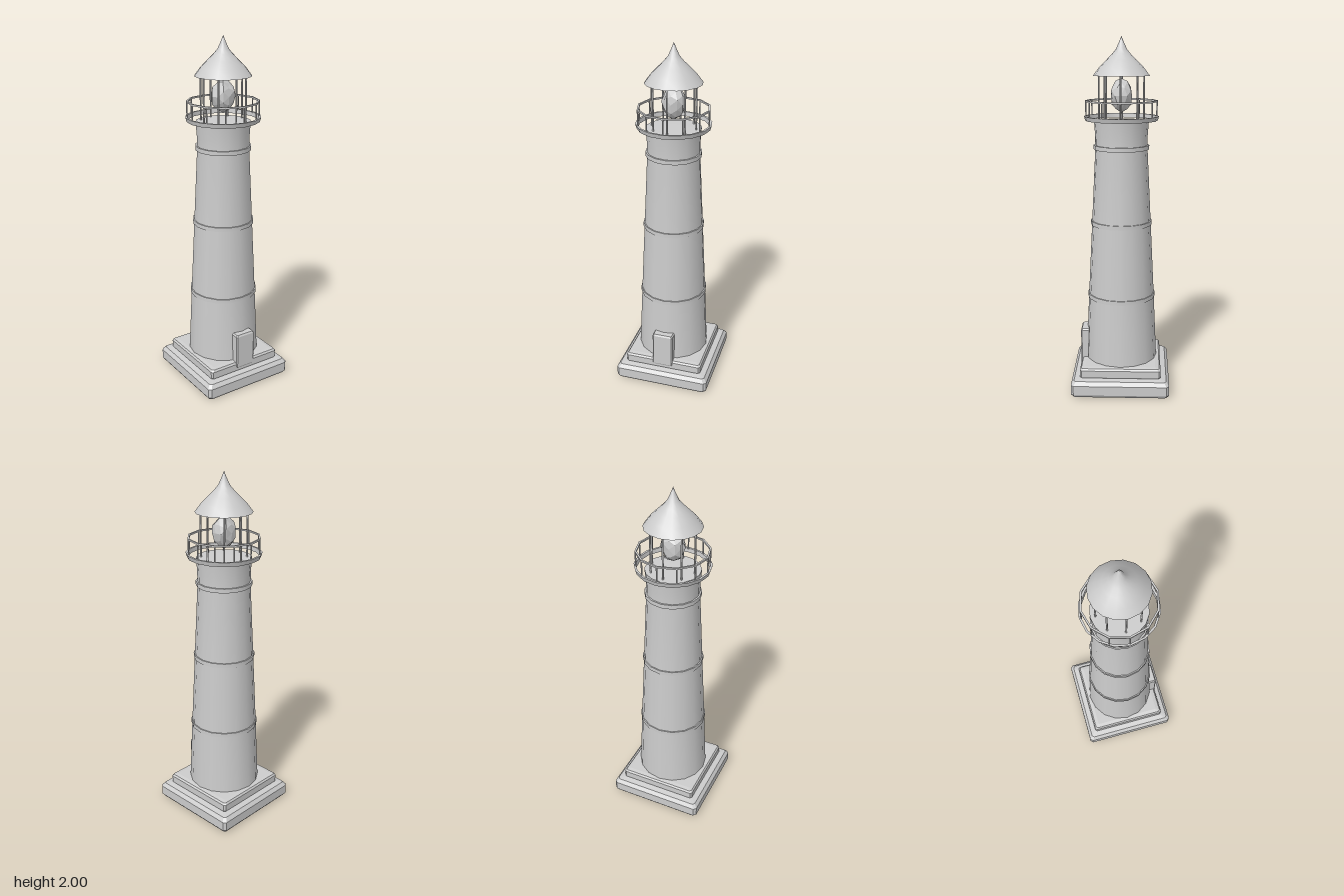
import * as THREE from 'three';
import { toCreasedNormals } from 'three/addons/utils/BufferGeometryUtils.js';
import { ConvexGeometry } from 'three/addons/geometries/ConvexGeometry.js';

export function createModel() {
  const model = new THREE.Group();
  model.name = 'lighthouse';
  const stone = new THREE.MeshStandardMaterial({ color: 0xcccccc, side: THREE.DoubleSide });
  stone.name = 'pale grey stone';

  const add = (name, geometry, x = 0, y = 0, z = 0, parent = model) => {
    const mesh = new THREE.Mesh(geometry, stone);
    mesh.name = name;
    mesh.position.set(x, y, z);
    parent.add(mesh);
    return mesh;
  };

  // Turned part from [radius, height] pairs, listed bottom to top
  const turned = (name, profile, sides = 16) => add(name, toCreasedNormals(
    new THREE.LatheGeometry(profile.map(([r, y]) => new THREE.Vector2(r, y)), sides), 0.6));

  // Flat hoop with a rectangular section
  const hoop = (name, inner, outer, low, high, sides) => turned(name,
    [[inner, low], [outer, low], [outer, high], [inner, high], [inner, low]], sides);

  // Block with clipped corners, from [halfWidth, halfDepth, y, clip] levels
  const block = (levels) => {
    const points = [];
    for (const [w, d, y, c] of levels)
      for (const sx of [-1, 1])
        for (const sz of [-1, 1])
          points.push(new THREE.Vector3(sx * (w - c), y, sz * d), new THREE.Vector3(sx * w, y, sz * (d - c)));
    return new ConvexGeometry(points);
  };

  // Stepped base
  add('lowerPlinth', block([
    [0.268, 0.268, 0, 0.012], [0.279, 0.279, 0.016, 0.015],
    [0.279, 0.279, 0.07, 0.015], [0.262, 0.262, 0.092, 0.012], [0.23, 0.23, 0.098, 0.01]]));
  add('upperPlinth', block([
    [0.222, 0.222, 0.09, 0.01], [0.23, 0.23, 0.103, 0.01],
    [0.23, 0.23, 0.142, 0.01], [0.222, 0.222, 0.153, 0.01], [0.2, 0.2, 0.157, 0.005]]));

  // Tapering tower with a slight flare under the gallery
  turned('tower', [[0.207, 0.15], [0.189, 0.54], [0.168, 0.96], [0.147, 1.38],
    [0.147, 1.46], [0.153, 1.54], [0, 1.542]]);
  for (const [y, r] of [[0.535, 0.195], [0.965, 0.174], [1.395, 0.156]])
    hoop('towerBand', r - 0.02, r, y - 0.012, y + 0.012, 16);

  // Entrance door block
  add('door', block([
    [0.054, 0.03, 0.115, 0.006], [0.061, 0.036, 0.125, 0.006],
    [0.061, 0.036, 0.32, 0.006], [0.054, 0.03, 0.33, 0.006]]), 0, 0, 0.199);

  // Gallery hoop
  turned('galleryRing', [[0.194, 1.543], [0.202, 1.543], [0.209, 1.567], [0.197, 1.567], [0.194, 1.543]]);

  // Railing
  hoop('handrail', 0.191, 0.201, 1.645, 1.654, 12);
  const posts = (name, count, radius, thickness, low, high) => {
    const group = new THREE.Group();
    group.name = name + 's';
    const shape = new THREE.CylinderGeometry(thickness, thickness, high - low, 6);
    for (let i = 0; i < count; i++) {
      const a = (i / count) * Math.PI * 2;
      add(name, shape, Math.sin(a) * radius, (low + high) / 2, Math.cos(a) * radius, group);
    }
    model.add(group);
  };
  posts('railPost', 12, 0.197, 0.004, 1.56, 1.65);
  posts('lanternPost', 8, 0.125, 0.005, 1.54, 1.80);

  // Faceted, uneven lamp
  const lamp = new THREE.IcosahedronGeometry(1, 1);
  const p = lamp.attributes.position;
  for (let i = 0; i < p.count; i++) {
    const x = p.getX(i), y = p.getY(i), z = p.getZ(i);
    const bump = 1 + 0.1 * Math.sin(5 * x + 3 * y + 1) * Math.cos(4 * z - 2 * y);
    p.setXYZ(i, x * bump * 0.066, y * bump * 0.09, z * bump * 0.062);
  }
  lamp.computeVertexNormals();
  add('lamp', lamp, 0, 1.68, 0);

  // Swept conical roof, open below
  turned('roof', [[0.157, 1.787], [0.122, 1.833], [0.085, 1.87], [0.052, 1.903],
    [0.031, 1.928], [0.015, 1.963], [0, 2]]);

  return model;
}
